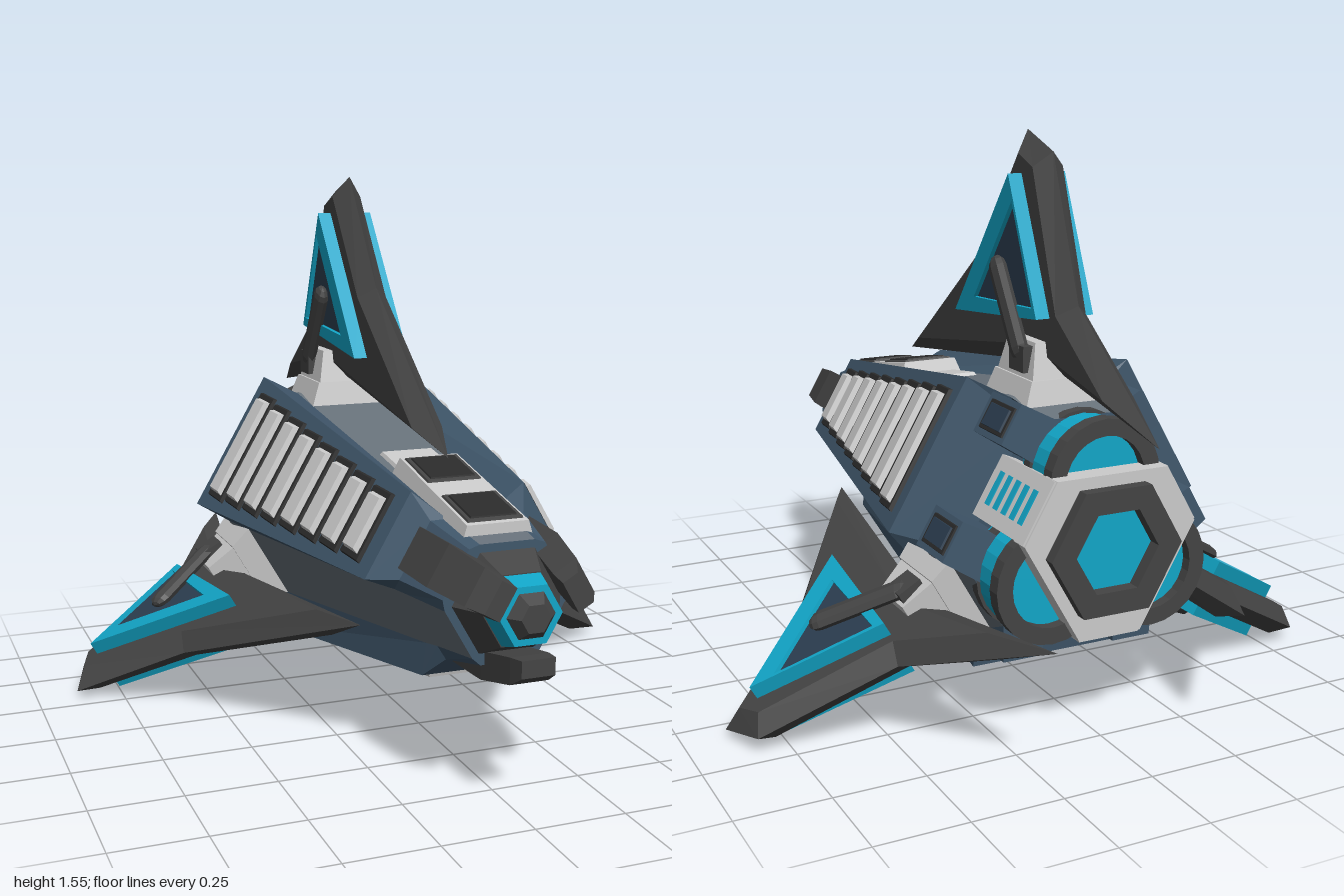
import * as THREE from 'three';

const mat = (color) => new THREE.MeshStandardMaterial({ color, flatShading: true, side: THREE.DoubleSide });
const slate = mat(0x40576b), grey = mat(0x69737c), navy = mat(0x2c3e50);
const dark = mat(0x444444), black = mat(0x2b2b2b), light = mat(0xbcbcbc), cyan = mat(0x12a6c8);
const CY = 0.53; // height of the ship's long axis

function add(parent, name, geometry, material, x = 0, y = 0, z = 0) {
  const m = new THREE.Mesh(geometry, material);
  m.name = name;
  m.position.set(x, y, z);
  parent.add(m);
  return m;
}

// Skin over counter-clockwise outlines, listed from high z to low z.
function loft(rings, keep = () => true, caps = true) {
  const pos = [], n = rings[0].pts.length;
  const put = (r, j) => pos.push(r.pts[j % n][0], r.pts[j % n][1], r.z);
  for (let i = 0; i + 1 < rings.length; i++) {
    const f = rings[i], b = rings[i + 1];
    for (let j = 0; j < n; j++) {
      if (!keep(j)) continue;
      put(f, j); put(b, j); put(b, j + 1);
      put(f, j); put(b, j + 1); put(f, j + 1);
    }
  }
  if (caps) {
    const cap = (r, flip) => {
      const tris = THREE.ShapeUtils.triangulateShape(r.pts.map((p) => new THREE.Vector2(...p)), []);
      for (const t of tris) for (const j of flip ? [t[0], t[2], t[1]] : t) put(r, j);
    };
    cap(rings[0], false);
    cap(rings[rings.length - 1], true);
  }
  const g = new THREE.BufferGeometry();
  g.setAttribute('position', new THREE.Float32BufferAttribute(pos, 3));
  g.computeVertexNormals();
  return g;
}

const rect = (w, y0, y1) => [[-w, y0], [w, y0], [w, y1], [-w, y1]];
const ngon = (r, n = 6) => Array.from({ length: n }, (_, i) =>
  [r * Math.cos(i * 2 * Math.PI / n), r * Math.sin(i * 2 * Math.PI / n)]);

// Block standing on y = 0 whose top may be smaller than its base.
const block = (w0, l0, w1, l1, h) => loft([
  { z: h, pts: rect(w1 / 2, -l1 / 2, l1 / 2) },
  { z: 0, pts: rect(w0 / 2, -l0 / 2, l0 / 2) },
]).rotateX(-Math.PI / 2);

const toShape = (pts) => new THREE.Shape(pts.map((p) => new THREE.Vector2(...p)));
function plate(pts, depth, hole) {
  const s = toShape(pts);
  if (hole) s.holes.push(toShape(hole));
  return new THREE.ExtrudeGeometry(s, { depth, bevelEnabled: false }).translate(0, 0, -depth / 2);
}

// Hull outline: three panels (half width w at radius r) and three channels (half width c at radius h).
function hullRing([z, w, r, c, h]) {
  const pts = [];
  for (let k = 0; k < 3; k++) {
    const side = (a, rad, t) => [rad * Math.cos(a) - t * Math.sin(a), rad * Math.sin(a) + t * Math.cos(a)];
    const p = (-90 + 120 * k) * Math.PI / 180, q = p + Math.PI / 3;
    pts.push(side(p, r, -w), side(p, r, w), side(q, h, -c), side(q, h, c));
  }
  return { z, pts };
}

function makeFin() {
  const g = new THREE.Group();
  g.name = 'fin';
  const rel = (pts) => pts.map(([z, y]) => [z, y - CY]);
  const turn = -Math.PI / 2;
  // blade with knife edges all round
  const edge = rel([[0.45, 0.82], [-0.09, 1.23], [-0.32, 1.55], [-0.46, 1.5], [-0.6, 1.12], [-0.99, 0.84], [-0.5, 0.93], [-0.33, 0.93]]);
  const face = rel([[0.3, 0.88], [-0.13, 1.2], [-0.35, 1.49], [-0.43, 1.46], [-0.56, 1.09], [-0.8, 0.92], [-0.5, 0.98], [-0.33, 0.98]]);
  add(g, 'finBlade', loft([{ z: 0.045, pts: face }, { z: 0, pts: edge }, { z: -0.045, pts: face }]).rotateY(turn), dark);
  // raised triangular frame with a sunk insert
  const tri = rel([[-0.05, 1.03], [-0.37, 1.44], [-0.53, 1.08]]);
  const inner = rel([[-0.17, 1.085], [-0.39, 1.37], [-0.505, 1.105]]);
  add(g, 'finFrame', plate(tri, 0.17, inner).rotateY(turn), cyan);
  add(g, 'finInsert', plate(inner, 0.145).rotateY(turn), navy);
  // mount and the struts on both sides
  add(g, 'finMount', block(0.25, 0.24, 0.2, 0.21, 0.07), light, 0, 0.32, -0.435);
  add(g, 'finMountTop', block(0.19, 0.2, 0.15, 0.15, 0.1), light, 0, 0.385, -0.435);
  for (const s of [-1, 1]) {
    const strut = add(g, 'finStrut', new THREE.CapsuleGeometry(0.035, 0.23, 3, 8).scale(0.6, 1, 1), dark, s * 0.092, 0.56, -0.39);
    strut.rotation.x = 0.56;
    add(g, 'strutFoot', new THREE.BoxGeometry(0.05, 0.07, 0.08), dark, s * 0.08, 0.44, -0.46);
  }
  // engine behind the fin
  const tube = (r, l) => new THREE.CylinderGeometry(r, r, l, 24).rotateX(Math.PI / 2);
  add(g, 'engine', tube(0.148, 0.14), cyan, 0, 0.17, -0.65);
  add(g, 'engineRim', plate(ngon(0.16, 24), 0.04, ngon(0.115, 24)), dark, 0, 0.17, -0.73);
  add(g, 'engineCollar', tube(0.157, 0.03), dark, 0, 0.17, -0.615);
  return g;
}

function makePanel() {
  const g = new THREE.Group();
  g.name = 'sidePanel';
  // row of slats following the sloping panel
  const slope = Math.atan(0.15 / 1.02);
  for (let i = 0; i < 8; i++) {
    const z = -0.35 + i * 0.1175, r = 0.26 + (0.57 - z) * 0.147;
    const w = 0.33 - i * 0.0225;
    add(g, 'slatFrame', block(w + 0.03, 0.104, w + 0.02, 0.095, 0.012), black, 0, r - 0.002, z).rotation.x = slope;
    add(g, 'slat', block(w, 0.083, w - 0.025, 0.06, 0.025), light, 0, r, z).rotation.x = slope;
  }
  // vent with slots
  add(g, 'vent', block(0.2, 0.28, 0.175, 0.28, 0.1), light, 0, 0.14, -0.64);
  for (let i = 0; i < 5; i++)
    add(g, 'ventSlot', new THREE.BoxGeometry(0.095, 0.01, 0.022), cyan, 0, 0.238, -0.545 - i * 0.045);
  // pods either side of the vent
  for (const s of [-1, 1]) {
    add(g, 'pod', block(0.13, 0.18, 0.115, 0.16, 0.15), slate, s * 0.165, 0.18, -0.545);
    add(g, 'podRim', block(0.085, 0.13, 0.08, 0.125, 0.008), black, s * 0.165, 0.327, -0.55);
    add(g, 'podInset', block(0.065, 0.11, 0.06, 0.1, 0.012), navy, s * 0.165, 0.328, -0.55);
  }
  // curved prong beside the nose
  add(g, 'prong', loft([
    { z: 1, pts: rect(0.045, 0.095, 0.14) },
    { z: 0.95, pts: rect(0.052, 0.1, 0.17) },
    { z: 0.8, pts: rect(0.06, 0.13, 0.205) },
    { z: 0.58, pts: rect(0.06, 0.14, 0.215) },
  ]), dark);
  return g;
}

export function createModel() {
  const model = new THREE.Group();
  model.name = 'spacecraft';
  const ship = new THREE.Group();
  ship.name = 'ship';
  ship.position.y = CY;
  model.add(ship);

  // hull: slate panels and walls, grey channels
  const rings = [
    [0.82, 0.07, 0.16, 0.075, 0.15],
    [0.64, 0.085, 0.2, 0.085, 0.175],
    [0.58, 0.127, 0.258, 0.09, 0.185],
    [-0.45, 0.225, 0.41, 0.13, 0.34],
    [-0.48, 0.19, 0.2, 0.13, 0.34],
    [-0.63, 0.17, 0.19, 0.11, 0.31],
  ].map(hullRing);
  add(ship, 'hull', loft(rings, (j) => j % 4 !== 2), slate);
  add(ship, 'channels', loft(rings, (j) => j % 4 === 2, false), grey);

  // nose
  add(ship, 'noseCone', loft([{ z: 0.9, pts: ngon(0.105) }, { z: 0.8, pts: ngon(0.16) }]), dark);
  add(ship, 'noseRing', loft([{ z: 0.955, pts: ngon(0.085) }, { z: 0.89, pts: ngon(0.105) }]), cyan);
  add(ship, 'noseTip', loft([{ z: 0.985, pts: ngon(0.04) }, { z: 0.95, pts: ngon(0.07) }]), dark);

  // three fins with three panels between them
  for (let k = 0; k < 3; k++) {
    const fin = makeFin(), panel = makePanel();
    fin.rotation.z = k * 2 * Math.PI / 3;
    panel.rotation.z = fin.rotation.z + Math.PI / 3;
    ship.add(fin, panel);
  }

  // hatch on the upper channel
  const hatch = new THREE.Group();
  hatch.name = 'hatch';
  hatch.position.set(0, 0.18, 0.53);
  hatch.rotation.x = 0.19;
  ship.add(hatch);
  add(hatch, 'hatchBody', block(0.2, 0.48, 0.17, 0.46, 0.05), light);
  for (const z of [-0.13, 0.13]) {
    add(hatch, 'hatchWindowRim', block(0.155, 0.17, 0.15, 0.165, 0.006), dark, 0, 0.049, z);
    add(hatch, 'hatchWindow', block(0.13, 0.145, 0.125, 0.14, 0.006), black, 0, 0.053, z);
  }
  add(ship, 'hatchStrip', block(0.17, 0.2, 0.15, 0.18, 0.02), light, 0, 0.226, 0.24).rotation.x = 0.15;

  // stern: frame joining the vents, dark nozzle and glowing core
  const frame = hullRing([0, 0.09, 0.235, 0, 0]).pts.filter((_, j) => j % 4 < 2);
  add(ship, 'sternFrame', plate(frame, 0.06, ngon(0.15)), light, 0, 0, -0.755);
  add(ship, 'nozzle', plate(ngon(0.19), 0.045, ngon(0.12)), dark, 0, 0, -0.795);
  add(ship, 'nozzleCore', plate(ngon(0.13), 0.16), cyan, 0, 0, -0.7);
  return model;
}
